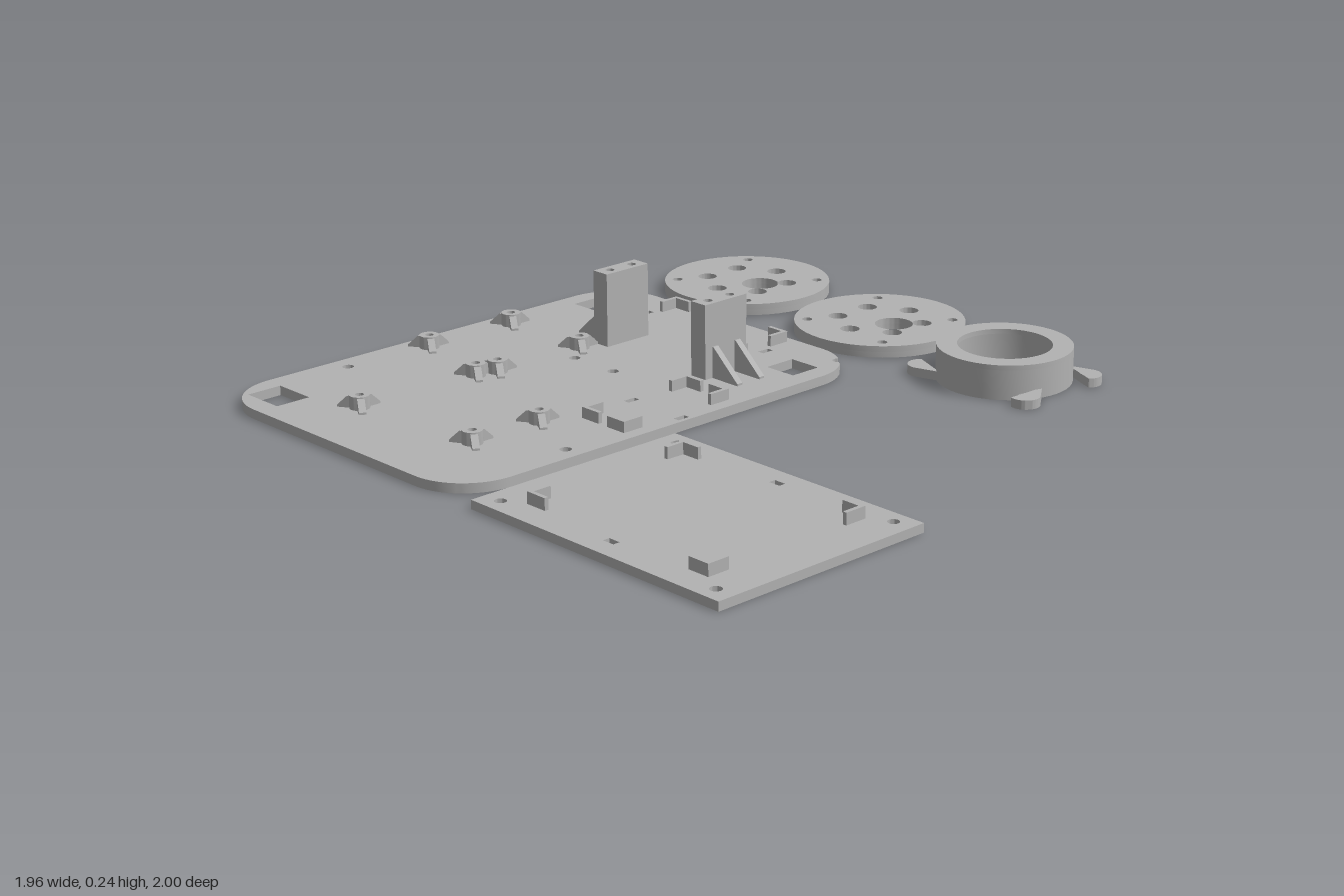
import * as THREE from 'three';
import { toCreasedNormals } from 'three/addons/utils/BufferGeometryUtils.js';

const grey = new THREE.MeshStandardMaterial({ color: 0xb2b2b2 });
grey.name = 'printed grey';

const PLATE = 0.027; // base plate thickness

// Plan coordinates are (x, z); shapes use y = -z and are laid flat, rising from y0 to y1.
const rectPath = (x0, z0, x1, z1, Type = THREE.Path) => new Type([
  new THREE.Vector2(x0, -z0), new THREE.Vector2(x0, -z1),
  new THREE.Vector2(x1, -z1), new THREE.Vector2(x1, -z0)]);
const slot = (x, z, w, d) => rectPath(x - w / 2, z - d / 2, x + w / 2, z + d / 2);
const circle = (x, z, r, Type = THREE.Path) => new Type().absarc(x, -z, r, 0, Math.PI * 2, false);

function slab(name, shape, y0, y1, holes = []) {
  shape.holes.push(...holes);
  const geo = new THREE.ExtrudeGeometry(shape, { depth: y1 - y0, bevelEnabled: false, curveSegments: 24 });
  geo.rotateX(-Math.PI / 2).translate(0, y0, 0);
  const mesh = new THREE.Mesh(toCreasedNormals(geo, 0.5), grey);
  mesh.name = name;
  return mesh;
}

function group(name, x, z, ...parts) {
  const g = new THREE.Group();
  g.name = name;
  g.position.set(x, 0, z);
  if (parts.length) g.add(...parts);
  return g;
}

// Four L-shaped corner brackets around a rectangle
function cornerBrackets(x0, z0, x1, z1, y, arm = 0.066) {
  const g = group('cornerBrackets', 0, 0);
  const t = 0.012;
  for (const [x, sx] of [[x0, 1], [x1, -1]]) for (const [z, sz] of [[z0, 1], [z1, -1]]) {
    const pts = [[0, 0], [arm, 0], [arm, t], [t, t], [t, arm], [0, arm]]
      .map(([a, b]) => new THREE.Vector2(x + sx * a, -(z + sz * b)));
    g.add(slab('cornerBracket', new THREE.Shape(pts), y, 0.058));
  }
  return g;
}

// Triangular rib pointing along +x, starting at distance x0
function rib(x0, x1, h, topX, w) {
  const s = new THREE.Shape([[x0, 0], [x1, 0], [x1, 0.006], [topX, h], [x0, h]]
    .map(p => new THREE.Vector2(...p)));
  const geo = new THREE.ExtrudeGeometry(s, { depth: w, bevelEnabled: false });
  const mesh = new THREE.Mesh(geo.translate(0, PLATE, -w / 2), grey);
  mesh.name = 'rib';
  return mesh;
}

// Screw boss with three ribs
function standoff(x, z) {
  const g = group('standoff', x, z,
    slab('boss', circle(0, 0, 0.028, THREE.Shape), PLATE, 0.064, [circle(0, 0, 0.012)]));
  for (let i = 0; i < 3; i++) {
    const r = rib(0.022, 0.061, 0.033, 0.032, 0.02);
    r.rotation.y = Math.PI / 2 + i * Math.PI * 2 / 3;
    g.add(r);
  }
  return g;
}

// Upright post with two blind holes on top and two gussets on one side
function post(x, z, dir) {
  const block = () => rectPath(-0.028, -0.078, 0.028, 0.078, THREE.Shape);
  const g = group('post', x, z,
    slab('postBody', block(), PLATE, 0.16),
    slab('postTop', block(), 0.16, 0.241, [-0.041, 0.041].map(dz => circle(0, dz, 0.013))));
  for (const dz of [-0.042, 0.042]) {
    const r = rib(0.026, 0.126, 0.09, 0.032, 0.019);
    r.position.z = dz;
    if (dir < 0) r.rotation.y = Math.PI;
    g.add(r);
  }
  return g;
}

// Rounded base outline with screw notches in the two back corners
function baseOutline() {
  const x0 = -0.98, x1 = 0.05, z0 = -0.453, z1 = 1, r = 0.17, pts = [];
  const corners = [[x1 - r, z0 + r, 0], [x0 + r, z0 + r, 1], [x0 + r, z1 - r, 2], [x1 - r, z1 - r, 3]];
  for (const [cx, cz, q] of corners) {
    const notch = q === 0 ? 0.88 : q === 1 ? Math.PI - 0.92 : null;
    const at = (a, rad) => new THREE.Vector2(cx + rad * Math.cos(a), -cz + rad * Math.sin(a));
    let cut = false;
    for (let i = 0; i <= 20; i++) {
      const a = (q + i / 20) * Math.PI / 2;
      if (notch !== null && !cut && a > notch - 0.095) {
        cut = true;
        const c = at(notch, r - 0.004);
        for (let k = 0; k <= 10; k++) {
          const b = notch - Math.PI / 2 - k * Math.PI / 10;
          pts.push(new THREE.Vector2(c.x + 0.016 * Math.cos(b), c.y + 0.016 * Math.sin(b)));
        }
      }
      if (notch === null || Math.abs(a - notch) > 0.1) pts.push(at(a, r));
    }
  }
  return new THREE.Shape(pts);
}

function basePlate() {
  const holes = [
    rectPath(-0.921, -0.326, -0.818, -0.228), rectPath(-0.111, -0.326, -0.01, -0.228),
    rectPath(-0.92, 0.835, -0.788, 0.94),
    ...[[-0.709, -0.323], [-0.214, -0.323], [-0.167, 0.228], [0.028, 0.228]]
      .map(([x, z]) => slot(x, z, 0.02, 0.038)),
    ...[[-0.542, 0.103], [-0.381, 0.103], [-0.922, 0.604], [-0.003, 0.604]]
      .map(([x, z]) => circle(x, z, 0.016)),
  ];
  const g = group('basePlate', 0, 0,
    slab('plate', baseOutline(), 0, PLATE, holes),
    cornerBrackets(-0.694, -0.428, -0.232, -0.207, PLATE),
    cornerBrackets(-0.154, 0.037, 0.011, 0.416, PLATE),
    post(-0.578, -0.106, -1), post(-0.177, -0.106, 1));
  for (const [x, z] of [[-0.9, 0.034], [-0.6, 0.034], [-0.9, 0.334], [-0.6, 0.334],
    [-0.617, 0.397], [-0.206, 0.519], [-0.206, 0.745], [-0.627, 0.787]]) g.add(standoff(x, z));
  return g;
}

// Tray with strap slots joined by a groove underneath
function tray() {
  const x0 = 0.1, x1 = 0.975, z0 = 0.317, z1 = 1, mid = 0.54, top = 0.025, groove = 0.008;
  const screws = () => [0.156, 0.918].flatMap(x => [0.363, 0.953].map(z => circle(x, z, 0.016)));
  const body = () => rectPath(x0, z0, x1, z1, THREE.Shape);
  return group('tray', 0, 0,
    slab('trayBottom', body(), 0, groove, [...screws(), slot(mid, 0.657, 0.036, 0.572)]),
    slab('trayTop', body(), groove, top, [...screws(), slot(mid, 0.381, 0.036, 0.02), slot(mid, 0.933, 0.036, 0.02)]),
    cornerBrackets(0.217, 0.397, 0.857, 0.919, top));
}

// Wheel disc with counterbored bolt circle and an offset shaft hole
function disc(x) {
  const R = 0.249;
  const holes = r => [
    circle(0.056, 0, 0.055),
    ...[-1, 1].flatMap(sx => [-1, 1].map(sz => circle(sx * 0.149, sz * 0.149, 0.015))),
    ...Array.from({ length: 6 }, (_, i) => {
      const a = Math.PI / 6 + i * Math.PI / 3;
      return circle(0.125 * Math.cos(a), 0.125 * Math.sin(a), r);
    }),
  ];
  return group('wheelDisc', x, -0.751,
    slab('discBottom', circle(0, 0, R, THREE.Shape), 0, 0.017, holes(0.016)),
    slab('discTop', circle(0, 0, R, THREE.Shape), 0.017, 0.034, holes(0.028)));
}

// Ring housing with an inner lip at the top and four mounting ears
function ringHousing() {
  const R = 0.19, ear = [0.187, 0.13], d = Math.hypot(...ear), tilt = Math.atan2(ear[1], ear[0]);
  const g = group('ringHousing', 0.354, -0.691,
    slab('ringWall', circle(0, 0, R, THREE.Shape), 0, 0.085, [circle(0, 0, 0.165)]),
    slab('ringLip', circle(0, 0, R, THREE.Shape), 0.085, 0.099, [circle(0, 0, 0.132)]));
  for (const a of [tilt, Math.PI - tilt, Math.PI + tilt, -tilt]) {
    const s = new THREE.Shape();
    s.moveTo(0.172, -0.062);
    s.absarc(d, 0, 0.042, -1.35, 1.35, false);
    s.lineTo(0.172, 0.062);
    s.closePath();
    const m = slab('ear', s, 0, 0.026, [circle(d, 0, 0.018)]);
    m.rotation.y = a;
    g.add(m);
  }
  return g;
}

export function createModel() {
  const model = new THREE.Group();
  model.name = 'robotChassisParts';
  model.add(basePlate(), tray(), disc(-0.726), disc(-0.175), ringHousing());
  return model;
}
